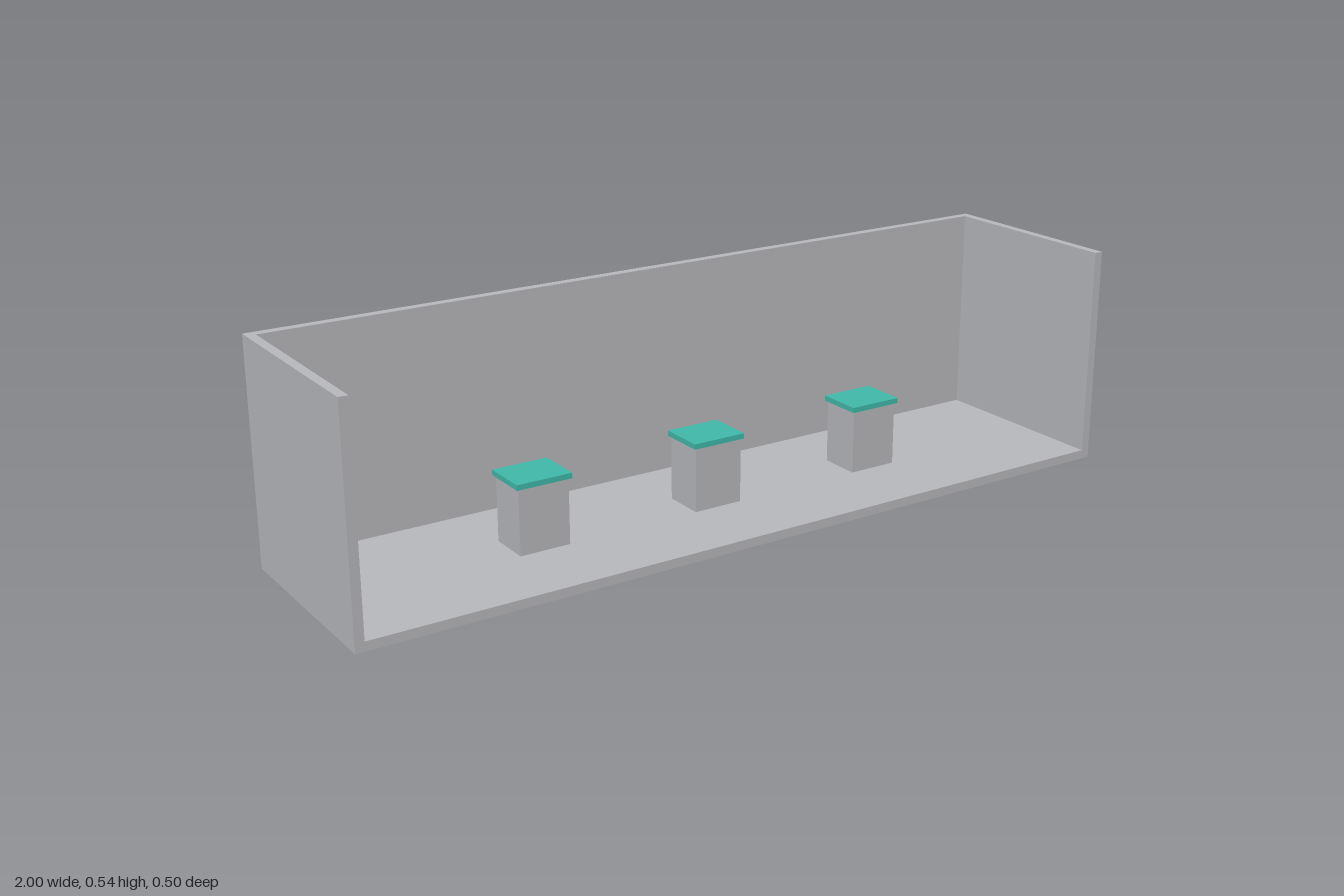
import * as THREE from 'three';

export function createModel() {
  const group = new THREE.Group();
  const grey = new THREE.MeshStandardMaterial({ color: 0xb9babe });
  grey.name = 'light grey';
  const teal = new THREE.MeshStandardMaterial({ color: 0x41bbab });
  teal.name = 'teal';

  const W = 2, H = 0.535, D = 0.5, T = 0.022;

  // Box placed by its bottom centre
  function box(name, w, h, d, x, y, z, material, parent = group) {
    const mesh = new THREE.Mesh(new THREE.BoxGeometry(w, h, d), material);
    mesh.name = name;
    mesh.position.set(x, y + h / 2, z);
    parent.add(mesh);
  }

  // Open-fronted bay: floor, back wall and two side walls
  box('floor', W - 2 * T, T, D - T, 0, 0, T / 2, grey);
  box('backWall', W - 2 * T, H, T, 0, 0, -D / 2 + T / 2, grey);
  for (const [name, s] of [['leftWall', 1], ['rightWall', -1]]) {
    box(name, T, H, D, s * (W / 2 - T / 2), 0, 0, grey);
  }

  // Three plinths with overhanging tops
  for (const x of [-0.46, 0, 0.46]) {
    const plinth = new THREE.Group();
    plinth.name = 'plinth';
    plinth.position.set(x, T, 0);
    box('plinthBody', 0.125, 0.157, 0.103, 0, 0, 0, grey, plinth);
    box('plinthTop', 0.137, 0.013, 0.115, 0, 0.157, 0, teal, plinth);
    group.add(plinth);
  }
  return group;
}
